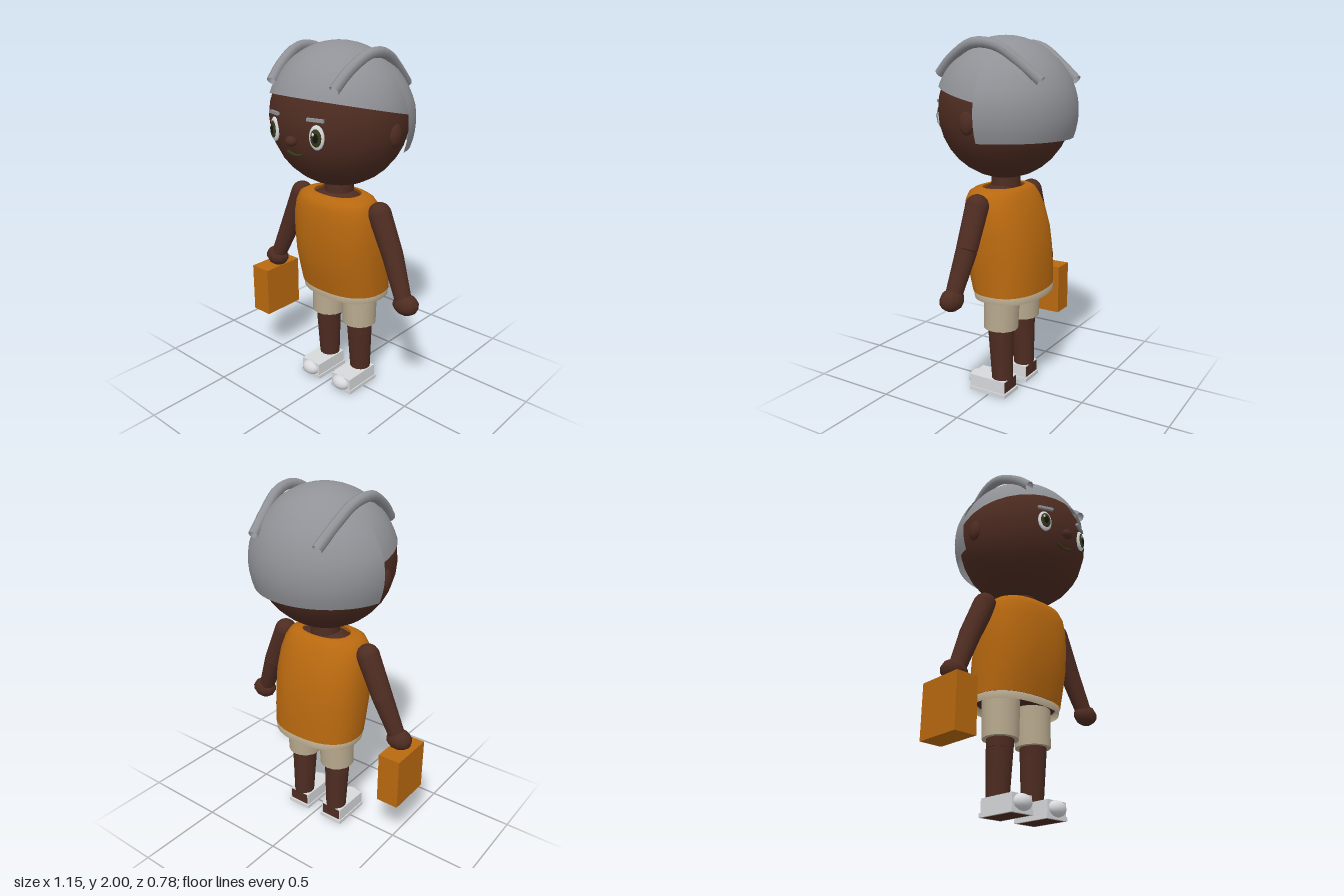
import * as THREE from 'three';
import { mergeVertices } from 'three/addons/utils/BufferGeometryUtils.js';

const material = (name, color, side = THREE.FrontSide) => {
  const m = new THREE.MeshStandardMaterial({ color, side });
  m.name = name;
  return m;
};
const skin = material('brown skin', 0x4e2c21);
const hair = material('grey hair', 0x919297, THREE.DoubleSide);
const orange = material('orange cloth', 0xb9690f, THREE.DoubleSide);
const beige = material('beige cloth', 0xb9aa8f, THREE.DoubleSide);
const white = material('white', 0xd6d8db);
const iris = material('olive iris', 0x38381a);
const dark = material('dark pupil', 0x15150d);

function add(parent, name, geometry, mat, pos = [0, 0, 0], scale = [1, 1, 1]) {
  const m = new THREE.Mesh(geometry, mat);
  m.name = name;
  m.position.set(...pos);
  m.scale.set(...scale);
  parent.add(m);
  return m;
}
const ball = (w = 20, h = 14) => new THREE.SphereGeometry(1, w, h);
const box = (w, h, d) => new THREE.BoxGeometry(w, h, d);

// Smooth surface from a rule fn(u, v) => [x, y, z]
function sheet(fn, nu, nv) {
  const pos = [], idx = [];
  for (let j = 0; j <= nv; j++) for (let i = 0; i <= nu; i++) pos.push(...fn(i / nu, j / nv));
  for (let j = 0; j < nv; j++) for (let i = 0; i < nu; i++) {
    const a = j * (nu + 1) + i, b = a + 1, c = a + nu + 1, d = c + 1;
    idx.push(a, b, d, a, d, c);
  }
  const g = new THREE.BufferGeometry();
  g.setAttribute('position', new THREE.Float32BufferAttribute(pos, 3));
  g.setIndex(idx);
  const merged = mergeVertices(g, 1e-4);
  merged.computeVertexNormals();
  return merged;
}

// Rounded cross-sections [y, half width, front z, back z], stacked upwards
function loft(rings) {
  const soft = t => Math.sign(t) * Math.pow(Math.abs(t), 0.85);
  return sheet((u, v) => {
    const [y, w, zf, zb] = rings[Math.round(v * (rings.length - 1))];
    const a = u * Math.PI * 2;
    return [w * soft(Math.sin(a)), y, (zf + zb) / 2 + (zf - zb) / 2 * soft(Math.cos(a))];
  }, 32, rings.length - 1);
}

// Tapered cylinder between two points
function limb(parent, name, a, b, ra, rb, mat) {
  const p = new THREE.Vector3(...a), q = new THREE.Vector3(...b);
  const m = add(parent, name, new THREE.CylinderGeometry(rb, ra, p.distanceTo(q), 16), mat);
  m.position.copy(p).add(q).multiplyScalar(0.5);
  m.quaternion.setFromUnitVectors(new THREE.Vector3(0, 1, 0), q.sub(p).normalize());
  return m;
}

const HEAD = { y: 1.61, rx: 0.385, ry: 0.375, rz: 0.36 };
const faceZ = (x, y) =>
  HEAD.rz * Math.sqrt(1 - (x / HEAD.rx) ** 2 - ((y - HEAD.y) / HEAD.ry) ** 2);

function buildHead(root) {
  const head = new THREE.Group();
  head.name = 'head';
  root.add(head);
  add(head, 'skull', ball(24, 16), skin, [0, HEAD.y, 0], [HEAD.rx, HEAD.ry, HEAD.rz]);
  add(head, 'nose', ball(12, 8), skin, [0, 1.535, 0.363], [0.034, 0.027, 0.027]);

  // Smiling mouth following the face
  const smile = [-0.055, -0.028, 0, 0.028, 0.055].map(x => {
    const y = 1.458 + 4 * x * x;
    return new THREE.Vector3(x, y, faceZ(x, y) + 0.002);
  });
  add(head, 'mouth', new THREE.TubeGeometry(new THREE.CatmullRomCurve3(smile), 12, 0.008, 6), iris);

  for (const s of [1, -1]) {
    add(head, 'ear', ball(14, 10), skin, [s * 0.375, 1.56, 0], [0.026, 0.062, 0.044]);

    const eye = new THREE.Group();
    eye.name = 'eye';
    eye.position.set(s * 0.147, 1.57, faceZ(0.147, 1.57));
    eye.rotation.y = s * 0.3;
    head.add(eye);
    add(eye, 'eyeWhite', ball(), white, [0, 0, 0], [0.042, 0.063, 0.016]);
    add(eye, 'iris', ball(), iris, [0, 0, 0.011], [0.03, 0.045, 0.009]);
    add(eye, 'pupil', ball(), dark, [0, 0, 0.016], [0.017, 0.027, 0.006]);
    add(eye, 'glint', ball(8, 6), white, [-0.012, 0.018, 0.019], [0.007, 0.009, 0.004]);

    const brow = add(head, 'eyebrow', box(0.09, 0.016, 0.016), hair,
      [s * 0.143, 1.656, faceZ(0.143, 1.656) + 0.003]);
    brow.rotation.set(0, s * 0.38, -s * 0.04);

    // Raised strand over the top of the hair
    const strand = [[0.215, 1.8, 0.28], [0.228, 1.875, 0.2], [0.243, 1.945, 0.08], [0.247, 1.957, 0],
      [0.238, 1.935, -0.1], [0.22, 1.86, -0.21], [0.2, 1.765, -0.325]]
      .map(([x, y, z]) => new THREE.Vector3(s * x, y, z));
    add(head, 'hairStrand',
      new THREE.TubeGeometry(new THREE.CatmullRomCurve3(strand), 18, 0.028, 8), hair);
  }

  // Cap of hair with a slanting front edge
  add(head, 'hairCap', sheet((u, v) => {
    const a = -u * Math.PI * 2, rz = Math.cos(a) > 0 ? 0.38 : 0.385;
    let end = 1.2;
    for (let k = 0; k < 12; k++) {
      end = Math.acos((0.073 + 0.23 * rz * Math.sin(end) * Math.cos(a)) / 0.4);
    }
    const t = end * v, r = Math.sin(t);
    return [0.395 * r * Math.sin(a), 1.6 + 0.4 * Math.cos(t), rz * r * Math.cos(a)];
  }, 32, 12), hair);

  // Longer hair behind the ears, cut straight at its sides and bottom
  add(head, 'backHair', sheet((u, v) => {
    const t = 0.8 + (Math.acos(-0.35) - 0.8) * v, r = Math.sin(t);
    const half = Math.acos(0.06 / (0.39 * r));
    const a = Math.PI + half * (1 - 2 * u);
    const rx = 0.397 + 0.02 * Math.min(1, v * 2);
    return [rx * r * Math.sin(a), 1.6 + 0.4 * Math.cos(t), 0.39 * r * Math.cos(a)];
  }, 24, 10), hair);
}

function buildBody(root) {
  add(root, 'neck', new THREE.CylinderGeometry(0.08, 0.085, 0.14, 16), skin, [0, 1.21, 0]);
  add(root, 'chest', new THREE.CylinderGeometry(0.1, 0.165, 0.035, 24), skin, [0, 1.18, 0.01], [1, 1, 0.7]);
  add(root, 'hips', new THREE.CylinderGeometry(0.25, 0.25, 0.02, 24), skin, [0, 0.625, -0.055], [1, 1, 0.72]);
  add(root, 'shirt', loft([
    [0.62, 0.27, 0.14, -0.25], [0.72, 0.274, 0.165, -0.248], [0.83, 0.278, 0.188, -0.24],
    [0.95, 0.279, 0.196, -0.222], [1.06, 0.27, 0.194, -0.188], [1.13, 0.252, 0.185, -0.155],
    [1.17, 0.228, 0.17, -0.13], [1.187, 0.195, 0.145, -0.11], [1.19, 0.145, 0.11, -0.085],
  ]), orange);
  add(root, 'shirtHem', loft([[0.58, 0.262, 0.132, -0.25], [0.62, 0.268, 0.137, -0.252],
    [0.623, 0.25, 0.12, -0.235]]), beige);
}

function buildSide(root, s) {
  const side = new THREE.Group();
  side.name = s > 0 ? 'leftLimbs' : 'rightLimbs';
  root.add(side);

  // Arm and hand
  const shoulder = [s * 0.288, 1.12, 0], elbow = [s * 0.385, 0.905, 0.002], wrist = [s * 0.475, 0.69, 0.022];
  add(side, 'shoulder', ball(16, 12), skin, shoulder, [0.064, 0.064, 0.064]);
  limb(side, 'upperArm', elbow, shoulder, 0.058, 0.064, skin);
  limb(side, 'forearm', wrist, elbow, 0.046, 0.058, skin);
  add(side, 'hand', ball(10, 7), skin, [s * 0.495, 0.66, 0.022], [0.077, 0.06, 0.06]);

  // Leg with its half of the shorts
  limb(side, 'shortsLeg', [s * 0.12, 0.4, -0.042], [s * 0.116, 0.63, -0.046], 0.098, 0.104, beige);
  limb(side, 'thigh', [s * 0.122, 0.35, -0.044], [s * 0.12, 0.42, -0.042], 0.072, 0.075, skin);
  limb(side, 'shin', [s * 0.123, 0.05, -0.054], [s * 0.122, 0.35, -0.044], 0.058, 0.072, skin);

  // Shoe with rounded toe, brown heel patch and brown underside
  const shoe = new THREE.Group();
  shoe.name = 'shoe';
  shoe.position.x = s * 0.122;
  side.add(shoe);
  add(shoe, 'sole', box(0.148, 0.022, 0.238), white, [0, 0.012, 0.007]);
  add(shoe, 'upper', box(0.136, 0.075, 0.228), white, [0, 0.058, 0.01]);
  add(shoe, 'toe', ball(16, 12), white, [0, 0.055, 0.12], [0.06, 0.043, 0.045]);
  add(shoe, 'heelPatch', box(0.12, 0.062, 0.004), skin, [0, 0.06, -0.105]);
  add(shoe, 'underside', box(0.122, 0.004, 0.21), skin, [0, 0.002, 0.007]);
}

export function createModel() {
  const root = new THREE.Group();
  root.name = 'child';
  buildHead(root);
  buildBody(root);
  for (const s of [1, -1]) buildSide(root, s);
  add(root, 'carriedBox', box(0.13, 0.297, 0.265), orange, [-0.515, 0.46, 0.022]);
  return root;
}
